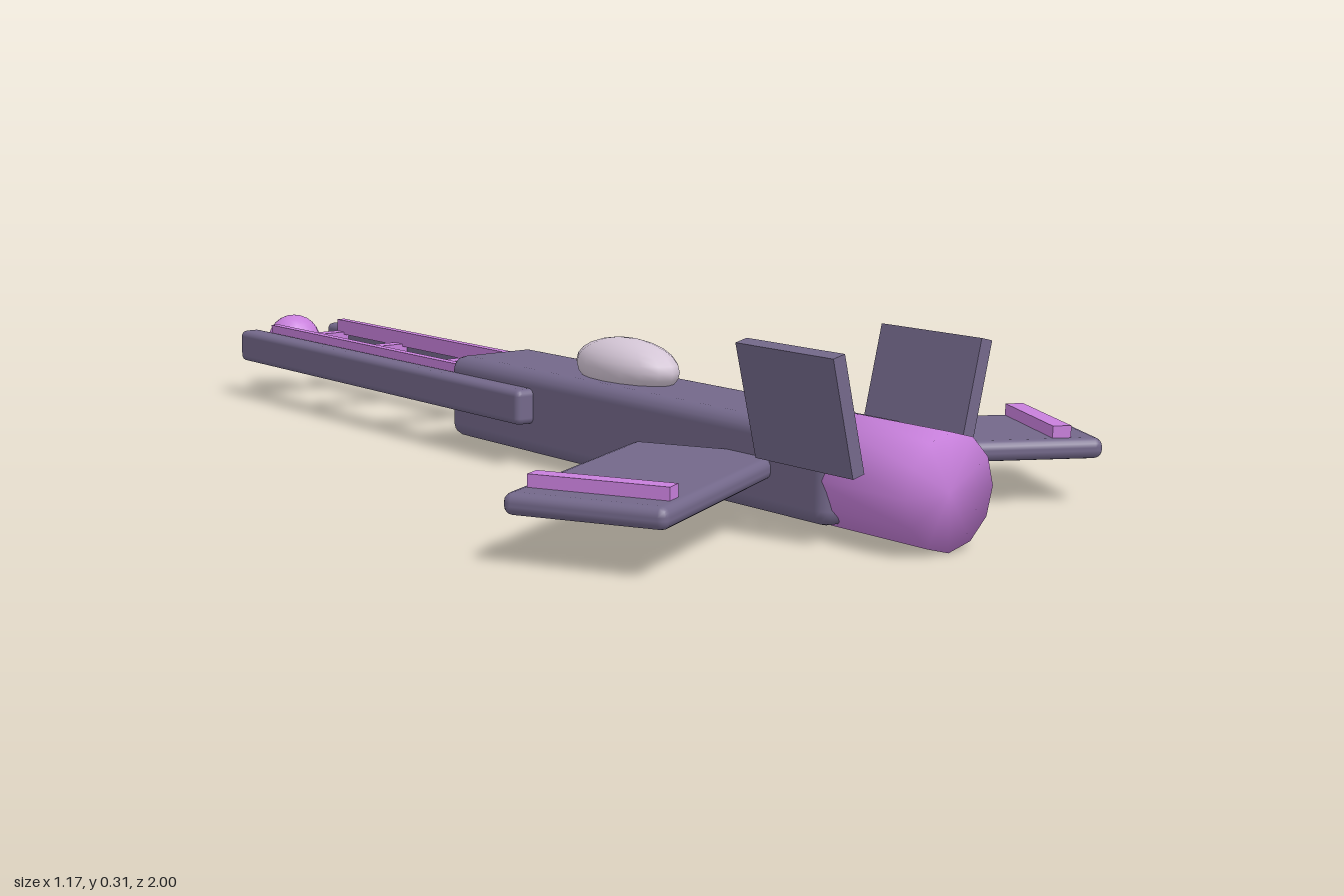
import * as THREE from 'three';
import { mergeVertices } from 'three/addons/utils/BufferGeometryUtils.js';
import { RoundedBoxGeometry } from 'three/addons/geometries/RoundedBoxGeometry.js';

const material = (name, color) => {
  const m = new THREE.MeshStandardMaterial({ color });
  m.name = name;
  return m;
};

export function createModel() {
  const hull = material('hull purple grey', 0x73688a);
  const glow = material('energy violet', 0xc880dc);
  const glass = material('canopy pale', 0xd4c6d6);

  const ship = new THREE.Group();
  ship.name = 'spaceship';

  const add = (name, geometry, mat, x, y, z, parent = ship) => {
    const mesh = new THREE.Mesh(geometry, mat);
    mesh.name = name;
    mesh.position.set(x, y, z);
    parent.add(mesh);
    return mesh;
  };
  const box = (w, h, d) => new THREE.BoxGeometry(w, h, d);
  const softBox = (w, h, d, r) => new RoundedBoxGeometry(w, h, d, 2, r);

  // Main fuselage
  add('fuselage', softBox(0.192, 0.152, 1.036, 0.026), hull, 0, 0.094, 0.314);

  // Engine drum, shaded smoothly over its rim
  let drum = new THREE.CylinderGeometry(0.093, 0.093, 0.21, 12);
  drum.deleteAttribute('normal');
  drum.deleteAttribute('uv');
  drum = mergeVertices(drum);
  drum.computeVertexNormals();
  drum.rotateX(Math.PI / 2);
  add('engine', drum, glow, 0, 0.093, 0.895);

  // Canopy bubble
  const bubble = new THREE.SphereGeometry(1, 16, 12);
  bubble.scale(0.061, 0.05, 0.127);
  add('canopy', bubble, glass, 0, 0.192, 0.217);

  // Energy orb between the prong tips
  add('orb', new THREE.SphereGeometry(0.057, 16, 12), glow, 0, 0.107, -0.943);

  for (const side of [1, -1]) {
    const label = side > 0 ? 'left' : 'right';

    // Long prong with a glowing inner strip
    add(label + 'Prong', softBox(0.047, 0.064, 1.014, 0.012), hull, side * 0.107, 0.108, -0.44);
    add(label + 'ProngStrip', box(0.017, 0.03, 0.69), glow, side * 0.081, 0.14, -0.537);

    // Swept wing with a raised strip near its tip
    const wing = new THREE.Group();
    wing.name = label + 'Wing';
    wing.position.set(side * 0.315, 0.093, 0.67);
    wing.rotation.y = -side * 0.484;
    ship.add(wing);
    add(label + 'WingPanel', softBox(0.485, 0.035, 0.265, 0.015), hull, 0, 0, 0, wing);
    add(label + 'WingStrip', box(0.032, 0.03, 0.23), glow, side * 0.174, 0.023, 0, wing);

    // Canted tail fin
    const fin = add(label + 'Fin', box(0.024, 0.192, 0.22), hull, side * 0.135, 0.211, 0.81);
    fin.rotation.z = -side * 0.235;
  }

  // Rungs bridging the prongs
  for (const z of [-0.87, -0.64, -0.375]) {
    add('rung', box(0.17, 0.03, 0.03), glow, 0, 0.115, z);
  }

  return ship;
}
